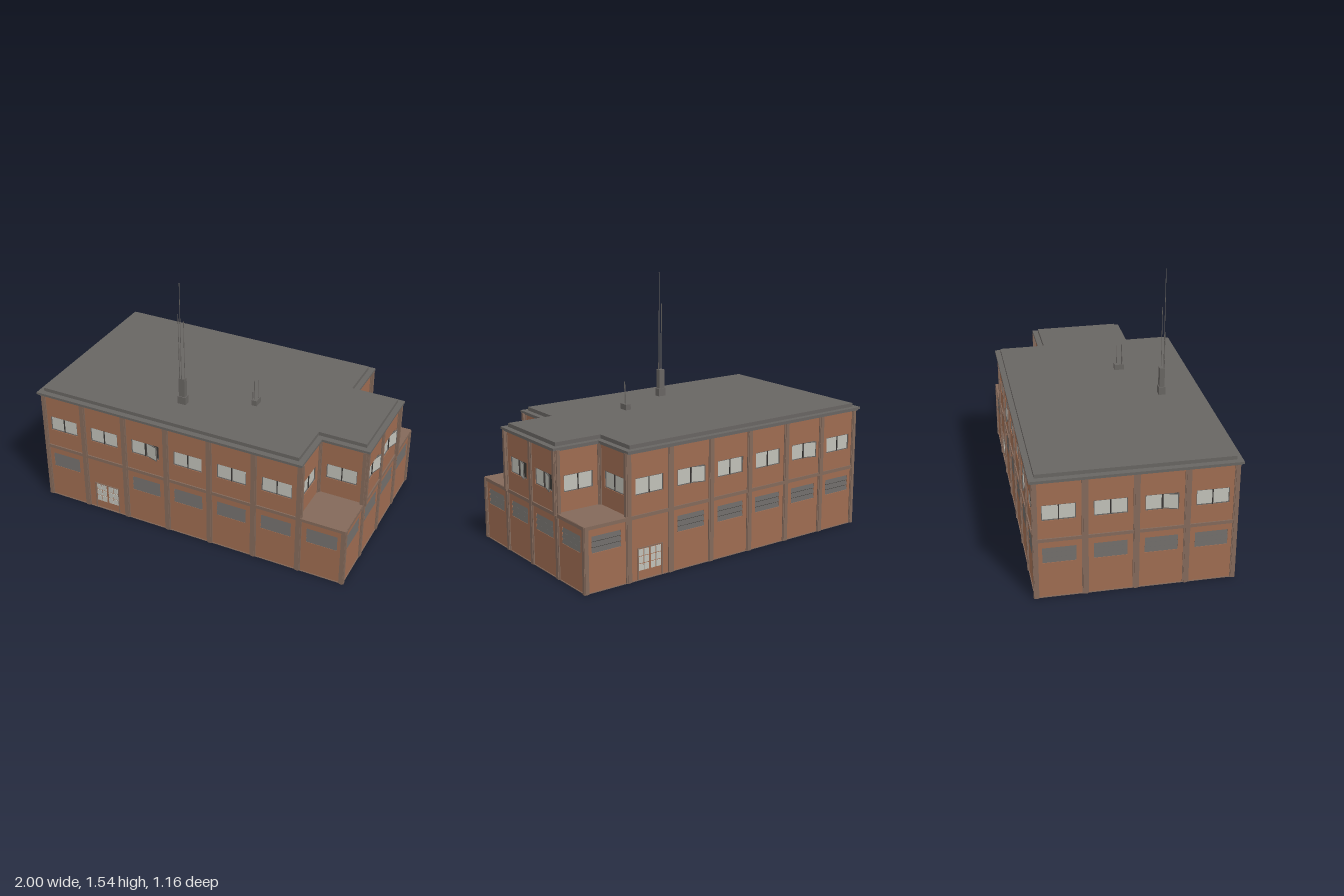
import * as THREE from 'three';

const mat = (name, color, extra = {}) => {
  const m = new THREE.MeshStandardMaterial({ color, ...extra });
  m.name = name;
  return m;
};

export function createModel() {
  const brick = mat('brick', 0x9e6c51);
  const stone = mat('brown stone', 0x83695a);
  const grey = mat('roof grey', 0x686562);
  const glass = mat('pale glass', 0xc0c0b8);
  const dark = mat('dark opening', 0x3a3735);

  const model = new THREE.Group();
  model.name = 'building';

  const add = (parent, name, geo, material, x = 0, y = 0, z = 0) => {
    const m = new THREE.Mesh(geo, material);
    m.name = name;
    m.position.set(x, y, z);
    parent.add(m);
    return m;
  };
  const box = (parent, name, w, h, d, material, x, y, z) =>
    add(parent, name, new THREE.BoxGeometry(w, h, d), material, x, y, z);

  const PITCH = 0.28, WALL = 0.015, MID = 0.365, TOP = 0.73;
  const WIN_W = 0.185, WIN_H = 0.095;

  // Wall panel for one bay with a rectangular opening
  function panel(parent, x, y0, y1, hole) {
    const w = PITCH / 2, s = new THREE.Shape();
    s.moveTo(-w, y0).lineTo(w, y0).lineTo(w, y1).lineTo(-w, y1).closePath();
    const h = new THREE.Path(), hw = hole.w / 2;
    h.moveTo(-hw, hole.y0).lineTo(-hw, hole.y1).lineTo(hw, hole.y1).lineTo(hw, hole.y0).closePath();
    s.holes.push(h);
    const geo = new THREE.ExtrudeGeometry(s, { depth: WALL, bevelEnabled: false });
    add(parent, 'wallPanel', geo, brick, x, 0, -WALL);
  }

  // Rectangular frame made of four bars
  function frame(parent, w, h, t, d, material) {
    for (const s of [-1, 1]) {
      box(parent, 'frameRail', w, t, d, material, 0, s * (h - t) / 2, 0);
      box(parent, 'frameStile', t, h, d, material, s * (w - t) / 2, 0, 0);
    }
  }

  // Two-pane window; the second pane can stand open on a pivot
  function upperWindow(parent, x, open) {
    const g = new THREE.Group();
    g.name = 'window';
    g.position.set(x, 0.532, -WALL + 0.004);
    parent.add(g);
    frame(g, WIN_W, WIN_H, 0.004, 0.014, grey);
    const pw = WIN_W / 2;
    box(g, 'leftPane', pw, WIN_H, 0.004, glass, -pw / 2, 0, 0);
    box(g, 'mullion', 0.005, WIN_H, 0.012, dark, 0, 0, 0.002);
    if (!open) {
      box(g, 'rightPane', pw, WIN_H, 0.004, glass, pw / 2, 0, 0);
      return;
    }
    box(g, 'darkOpening', pw, WIN_H, 0.003, dark, pw / 2, 0, 0);
    const sash = new THREE.Group();
    sash.name = 'openSash';
    sash.position.set(pw / 2, 0, 0.013);
    sash.rotation.y = -0.3;
    g.add(sash);
    frame(sash, pw - 0.008, WIN_H, 0.005, 0.005, grey);
    box(sash, 'sashGlass', pw - 0.012, WIN_H - 0.006, 0.002, glass, 0, 0, 0);
  }

  // Ventilation louver with three tilted slats
  function louver(parent, x) {
    box(parent, 'louverBack', WIN_W, WIN_H, 0.004, dark, x, 0.267, -WALL + 0.001);
    for (let i = -1; i <= 1; i++) {
      const slat = box(parent, 'louverSlat', WIN_W, 0.027, 0.004, grey, x, 0.267 + i * 0.032, -0.004);
      slat.rotation.x = -0.3;
    }
  }

  // Double door with small square panes
  function door(parent, x) {
    box(parent, 'doorLeaves', 0.16, 0.18, 0.012, brick, x, 0.09, -0.009);
    for (const s of [-1, 1]) {
      box(parent, 'doorJamb', 0.005, 0.185, 0.018, stone, x + s * 0.0805, 0.0925, -0.004);
      for (let c = 0; c < 2; c++) for (let r = 0; r < 3; r++)
        box(parent, 'doorPane', 0.031, 0.037, 0.004, glass,
          x + s * (0.0225 + c * 0.035), 0.072 + r * 0.042, -0.002);
    }
    box(parent, 'doorLintel', 0.166, 0.005, 0.018, stone, x, 0.183, -0.004);
  }

  // Pilaster with a narrower raised centre strip
  function pilaster(parent, x, y0, y1, w) {
    const h = y1 - y0, y = (y0 + y1) / 2;
    box(parent, 'pilaster', w, h, 0.02, stone, x, y, -0.004);
    box(parent, 'pilasterStrip', w * 0.6, h, 0.02, stone, x, y, 0);
  }

  // One facade: n bays, local x along the wall and z outwards
  function facade(name, pos, rotY, n, { lower = [], upper = [], doorBay = -1, open = [], shift = 0 }) {
    const g = new THREE.Group();
    g.name = name;
    g.position.set(...pos);
    g.rotation.y = rotY;
    model.add(g);
    const cx = i => (i - (n - 1) / 2) * PITCH + shift;
    const storey = (bays, y0, y1) => {
      const edges = new Set(bays.flatMap(i => [i, i + 1]));
      for (const e of edges) {
        const end = n > 1 && (e === 0 || e === n);
        const x = cx(e) - PITCH / 2 + (end ? (e === 0 ? 0.01 : -0.01) : 0);
        pilaster(g, x, y0, y1, end ? 0.03 : 0.036);
      }
    };
    for (const i of lower) {
      const isDoor = i === doorBay;
      panel(g, cx(i), 0, MID, isDoor ? { w: 0.16, y0: 0.002, y1: 0.18 }
        : { w: WIN_W, y0: 0.2195, y1: 0.3145 });
      isDoor ? door(g, cx(i)) : louver(g, cx(i));
      box(g, 'floorBand', PITCH, 0.02, 0.02, stone, cx(i), MID, -0.003);
    }
    for (const i of upper) {
      panel(g, cx(i), MID, TOP, { w: WIN_W, y0: 0.4845, y1: 0.5795 });
      upperWindow(g, cx(i), open.includes(i));
    }
    storey(lower, 0, MID + 0.008);
    storey(upper, MID, TOP);
  }

  // Solid cores behind the walls, floor and side terraces
  box(model, 'groundFloorCore', 1.92, MID, 1.08, brick, 0, MID / 2 + 0.001, 0);
  box(model, 'upperFloorCore', 1.645, TOP - MID, 1.08, brick, -0.1375, (TOP + MID) / 2, 0);
  box(model, 'upperWingCore', 0.3, TOP - MID, 0.53, brick, 0.81, (TOP + MID) / 2, 0);
  box(model, 'floorSlab', 1.96, 0.004, 1.12, stone, 0, 0.002, 0);
  for (const s of [-1, 1])
    box(model, 'terrace', 0.29, 0.012, 0.29, stone, 0.835, 0.37, s * 0.42);

  // Facades
  const all7 = [0, 1, 2, 3, 4, 5, 6], all4 = [0, 1, 2, 3];
  facade('frontFacade', [0, 0, 0.555], 0, 7,
    { lower: all7, upper: [0, 1, 2, 3, 4, 5], doorBay: 1, open: [2] });
  facade('backFacade', [0, 0, -0.555], Math.PI, 7,
    { lower: all7, upper: [1, 2, 3, 4, 5, 6], doorBay: 1, open: [2, 5] });
  facade('rightEndFacade', [0.975, 0, 0], Math.PI / 2, 4,
    { lower: all4, upper: [1, 2], open: [1, 2] });
  facade('setBackFacade', [0.7, 0, 0], Math.PI / 2, 4, { upper: [0, 3] });
  facade('leftEndFacade', [-0.975, 0, 0], -Math.PI / 2, 4,
    { lower: all4, upper: all4, open: [2] });
  facade('wingFrontFacade', [0, 0, 0.28], 0, 1, { upper: [0], shift: 0.837 });
  facade('wingBackFacade', [0, 0, -0.28], Math.PI, 1, { upper: [0], shift: -0.837 });

  // Stepped roof following the wing outline
  function roofTier(name, inset, y0, y1) {
    const l = -1 + inset, m = 0.715 - inset, r = 1 - inset, d = 0.578 - inset, e = 0.295 - inset;
    const s = new THREE.Shape([[l, -d], [m, -d], [m, -e], [r, -e], [r, e], [m, e], [m, d], [l, d]]
      .map(p => new THREE.Vector2(...p)));
    const geo = new THREE.ExtrudeGeometry(s, { depth: y1 - y0, bevelEnabled: false });
    geo.rotateX(-Math.PI / 2);
    add(model, name, geo, grey, 0, y0, 0);
  }
  roofTier('corniceUnderside', 0.008, 0.722, 0.73);
  roofTier('cornice', 0, 0.73, 0.743);
  roofTier('roofDeck', 0.033, 0.743, 0.765);

  // Roof masts: [x, z, bottom, top]
  const rods = list => list.forEach(([x, z, y0, y1]) =>
    add(model, 'antennaRod', new THREE.CylinderGeometry(0.0018, 0.0018, y1 - y0, 6), grey, x, (y0 + y1) / 2, z));
  box(model, 'mastBase', 0.052, 0.05, 0.04, grey, -0.145, 0.788, 0.325);
  box(model, 'mastColumn', 0.038, 0.125, 0.03, grey, -0.145, 0.87, 0.325);
  rods([[-0.145, 0.337, 0.92, 1.54], [-0.16, 0.333, 0.92, 1.345],
    [-0.13, 0.325, 0.92, 1.305], [-0.156, 0.338, 0.92, 1.16]]);
  box(model, 'smallMastBase', 0.034, 0.038, 0.058, grey, 0.24, 0.78, 0.146);
  rods([[0.236, 0.162, 0.79, 0.93], [0.25, 0.134, 0.79, 0.92], [0.228, 0.164, 0.79, 0.85]]);

  return model;
}
